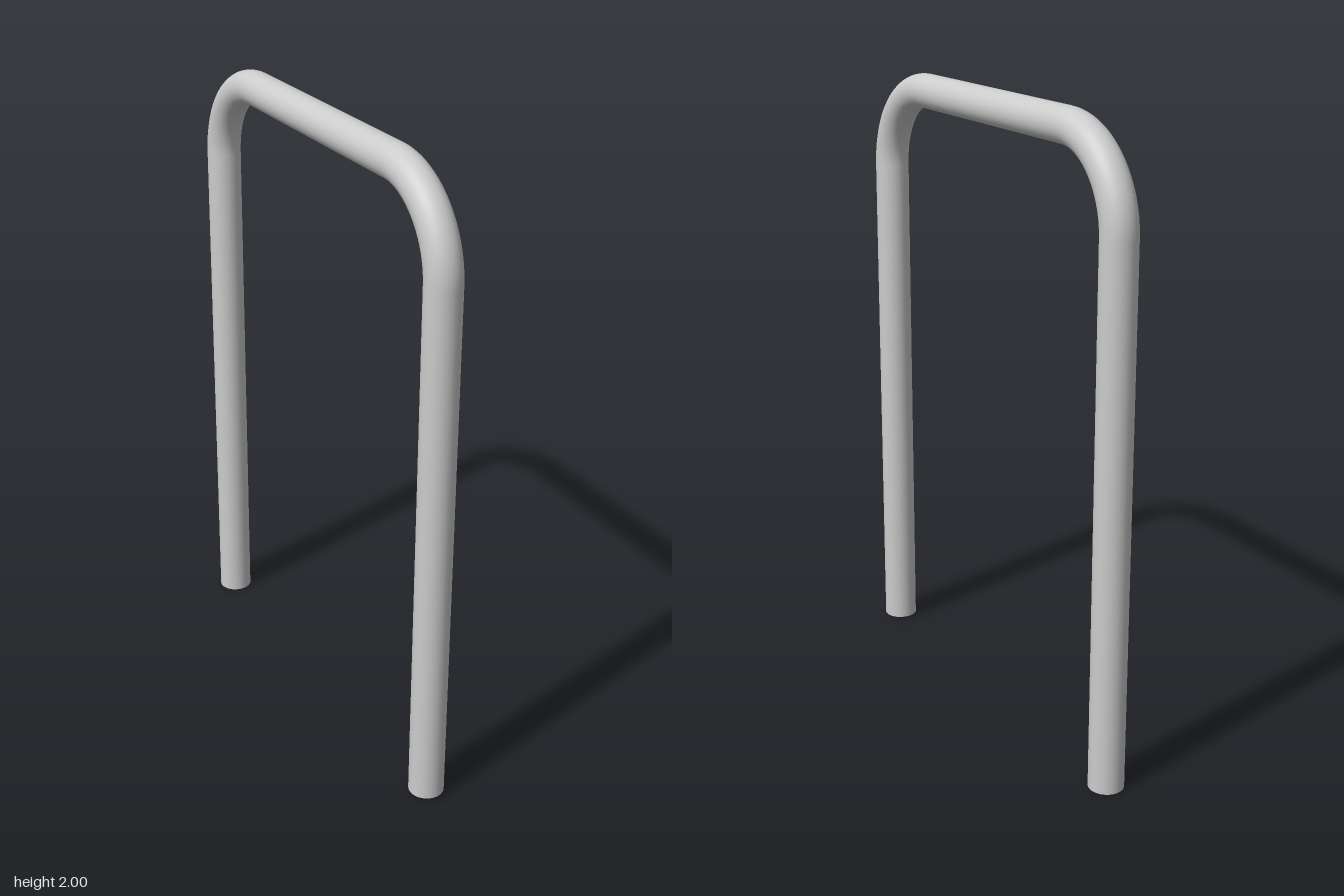
import * as THREE from 'three';

export function createModel() {
  const group = new THREE.Group();
  group.name = 'hoopRail';
  const material = new THREE.MeshStandardMaterial({ color: 0xcccccc });

  const r = 0.055;        // tube radius
  const bend = 0.27;      // bend radius at the tube centre
  const legZ = 0.688;     // leg centre line
  const barY = 2 - r;     // top bar centre line
  const bendY = barY - bend;
  const bendZ = legZ - bend;
  const sides = 32;

  const add = (name, geometry, y, z) => {
    const mesh = new THREE.Mesh(geometry, material);
    mesh.name = name;
    mesh.position.set(0, y, z);
    group.add(mesh);
  };

  for (const [label, s, foot] of [['front', 1, 0.01], ['back', -1, 0]]) {
    // straight leg with a flat end at the foot
    const height = bendY - foot;
    add(label + 'Leg', new THREE.CylinderGeometry(r, r, height, sides), foot + height / 2, s * legZ);

    // quarter bend between leg and top bar
    const elbow = new THREE.TorusGeometry(bend, r, sides, 24, Math.PI / 2);
    elbow.rotateY(-s * Math.PI / 2);
    add(label + 'Bend', elbow, bendY, s * bendZ);
  }

  // straight top bar, its ends hidden inside the bends
  const bar = new THREE.CylinderGeometry(r, r, 2 * bendZ, sides, 1, true);
  bar.rotateX(Math.PI / 2);
  add('topBar', bar, barY, 0);

  return group;
}
